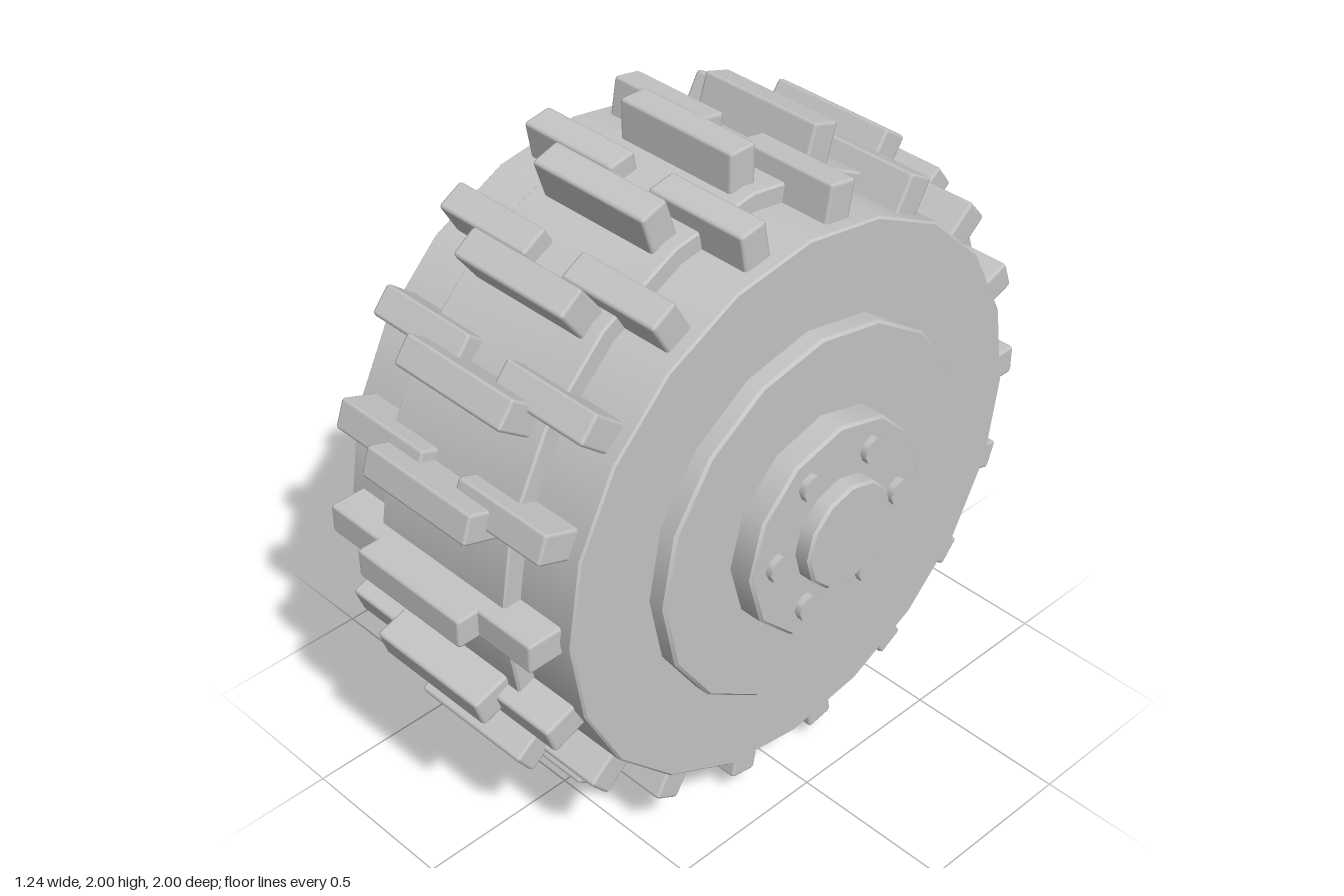
import * as THREE from 'three';
import { toCreasedNormals } from 'three/addons/utils/BufferGeometryUtils.js';
import { RoundedBoxGeometry } from 'three/addons/geometries/RoundedBoxGeometry.js';

const grey = new THREE.MeshStandardMaterial({ color: 0xc4c4c4 });
grey.name = 'grey';

export function createModel() {
  const wheel = new THREE.Group();
  wheel.name = 'wheel';
  const axle = new THREE.Group();
  axle.name = 'axle';
  axle.position.y = 1;
  wheel.add(axle);

  const add = (name, geometry, parent = axle) => {
    const mesh = new THREE.Mesh(geometry, grey);
    mesh.name = name;
    parent.add(mesh);
    return mesh;
  };

  // Disc around the x axis with a slightly bevelled rim
  const disc = (name, radius, halfWidth, sides, bevel) => {
    const profile = [
      [0, -halfWidth], [radius - bevel, -halfWidth], [radius, -halfWidth + bevel],
      [radius, halfWidth - bevel], [radius - bevel, halfWidth], [0, halfWidth],
    ].map(([r, y]) => new THREE.Vector2(r, y));
    const geometry = new THREE.LatheGeometry(profile, sides).rotateZ(-Math.PI / 2);
    return add(name, toCreasedNormals(geometry, 0.56));
  };

  // Tyre, raised tread band and stepped hub
  disc('tyre', 0.835, 0.44, 20, 0.006);
  disc('treadBand', 0.89, 0.245, 20, 0.006);
  disc('rim', 0.565, 0.495, 16, 0.008);
  disc('hub', 0.327, 0.57, 12, 0.008);
  disc('hubCap', 0.162, 0.62, 12, 0.008);

  // Ring of tread lugs; angles start at the front
  const lugRing = (name, count, x, width, inner, outer) => {
    for (let i = 0; i < count; i++) {
      const lug = new THREE.Group();
      lug.name = name;
      lug.rotation.x = (i / count) * Math.PI * 2;
      axle.add(lug);
      const block = new RoundedBoxGeometry(width, 0.09, outer - inner, 1, 0.01);
      add(name + 'Block', block, lug).position.set(x, 0, (inner + outer) / 2);
    }
  };
  lugRing('centreLug', 20, 0, 0.405, 0.8, 1);
  lugRing('leftLug', 18, 0.234, 0.33, 0.76, 0.935);
  lugRing('rightLug', 18, -0.234, 0.33, 0.76, 0.935);

  // Six bolts on each side of the hub
  for (const side of [-1, 1]) {
    for (let i = 0; i < 6; i++) {
      const angle = (i * Math.PI) / 3;
      const bolt = add('bolt', new THREE.CylinderGeometry(0.04, 0.04, 0.06, 8).rotateZ(Math.PI / 2));
      bolt.position.set(side * 0.56, Math.sin(angle) * 0.233, Math.cos(angle) * 0.233);
    }
  }

  // Blocks partly sunk into the underside of the tread
  const box = (name, y0, y1, z0, z1) => {
    const block = add(name, new THREE.BoxGeometry(0.43, y1 - y0, z1 - z0), wheel);
    block.position.set(0, (y0 + y1) / 2, (z0 + z1) / 2);
  };
  box('lowerBlock', 0.185, 0.3, -0.53, 0.53);
  box('rearBlock', 0.335, 0.58, -0.765, -0.5);

  return wheel;
}
